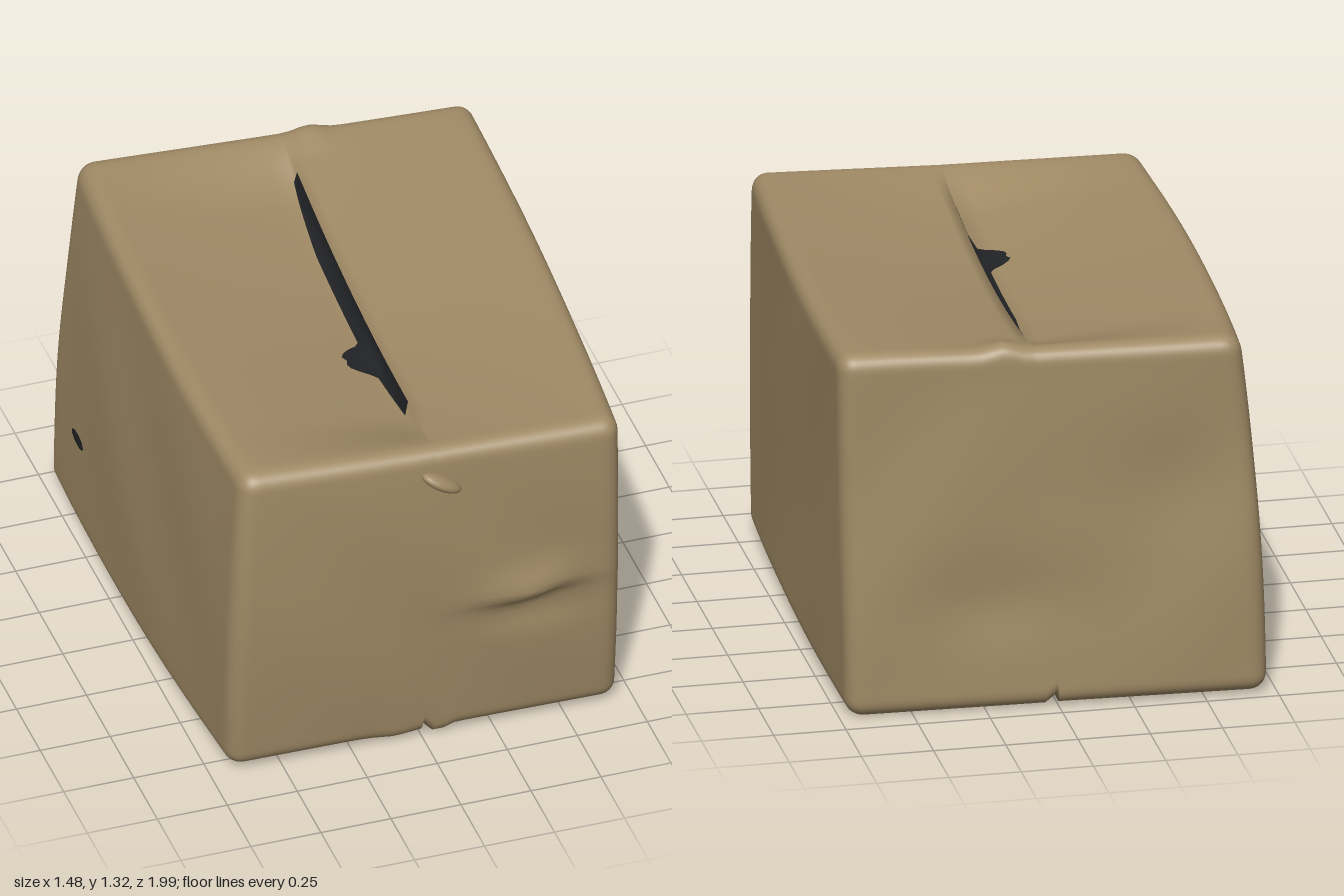
import * as THREE from 'three';
import { mergeVertices } from 'three/addons/utils/BufferGeometryUtils.js';

// Corners of the battered carton, [bottom/top][back/front][-x/+x]
const CORNERS = [
  [[[-0.715, 0.02, -0.99], [0.725, 0.01, -0.92]], [[-0.685, 0.03, 0.84], [0.69, 0.03, 0.86]]],
  [[[-0.62, 1.32, -0.99], [0.75, 1.32, -0.89]], [[-0.66, 1.275, 0.9], [0.66, 1.275, 0.985]]],
];
const HALF = [0.72, 0.64, 0.95];
const RADIUS = 0.06;

const bump = (x, y, cx, cy, sx, sy) => Math.exp(-(((x - cx) / sx) ** 2) - ((y - cy) / sy) ** 2);
const face = (t) => THREE.MathUtils.smoothstep(t, 0.8, 0.95);

// Maps a point of the -1..1 cube onto the rounded, sagging, dented box
function warp(a, b, c) {
  const p = new THREE.Vector3(a * HALF[0], b * HALF[1], c * HALF[2]);
  const inner = new THREE.Vector3(
    ...[p.x, p.y, p.z].map((v, i) => THREE.MathUtils.clamp(v, RADIUS - HALF[i], HALF[i] - RADIUS)));
  const out = p.clone().sub(inner);
  if (out.length() > RADIUS) p.copy(inner).add(out.setLength(RADIUS));
  const n = [p.x / HALF[0], p.y / HALF[1], p.z / HALF[2]];

  const q = new THREE.Vector3();
  for (let j = 0; j < 2; j++) for (let k = 0; k < 2; k++) for (let i = 0; i < 2; i++) {
    const w = [i, j, k].reduce((s, side, m) => s * (1 + (side ? 1 : -1) * n[m]) / 2, 1);
    q.addScaledVector(new THREE.Vector3(...CORNERS[j][k][i]), w);
  }
  const [x, y, z] = n;
  const openX = 1 - x * x, openY = 1 - y * y, openZ = 1 - z * z;

  // Bulging walls and gentle waviness
  q.x += x * (x < 0 ? 0.02 * openY + 0.03 * openZ : 0.02 * openZ);
  q.z += face(z) * openY * 0.03 - face(-z) * openY * 0.01 * Math.sin(4 * x + 3 * y);
  q.x += 0.006 * Math.sin(5 * z + 3 * y) * openY * openZ;
  q.z += 0.006 * Math.sin(6 * x + 4 * y) * openY * openX;

  // Top flaps sag towards the seam, the left-hand one lower
  const sag = 1 - Math.abs(x);
  const low = a < -0.005 ? 1 : 0;
  q.y -= face(y) * sag * (0.075 * openZ + low * 0.06 * THREE.MathUtils.smoothstep(openZ, 0.1, 0.6));
  q.x += face(y) * sag * 0.02;

  // Bottom seam, one flap tucked behind the other, and ragged lower front edge
  q.y += face(-y) * sag * openZ * (0.01 + low * 0.02);
  q.y += face(-y) * 0.03 * Math.exp(-((x / 0.025) ** 2)) * (1 - low);
  q.y -= face(-y) * face(z) * 0.02 * (bump(x, 0, 0.08, 0, 0.05, 1) + 0.6 * bump(x, 0, -0.14, 0, 0.1, 1));

  // Raised tape end on the top back edge
  q.y += face(y) * face(-z) * 0.02 * bump(x, 0, 0.15, 0, 0.08, 1);

  // Front crease with a sharp lower edge, and shallow dents in the back wall
  const ridge = 0.6 + 0.03 * THREE.MathUtils.smoothstep(q.x, 0.3, 0.48);
  q.z += face(z) * (0.035 * bump(q.x, q.y, 0.36, ridge, 0.17, q.y > ridge ? 0.1 : 0.025)
    - 0.015 * bump(q.x, q.y, 0.36, 0.52, 0.2, 0.07));
  q.z += face(-z) * (0.02 * bump(q.x, q.y, 0.2, 0.4, 0.25, 0.15) + 0.015 * bump(q.x, q.y, -0.35, 0.8, 0.25, 0.2));
  return q;
}

// Surface lofted through rows of three points
function loft(rows) {
  const pos = [], idx = [];
  rows.forEach((row, i) => {
    row.forEach((v) => pos.push(v.x, v.y, v.z));
    for (let k = 0; i && k < 2; k++) {
      const a = 3 * (i - 1) + k, b = 3 * i + k;
      idx.push(a, b, a + 1, a + 1, b, b + 1);
    }
  });
  const g = new THREE.BufferGeometry();
  g.setAttribute('position', new THREE.Float32BufferAttribute(pos, 3));
  g.setIndex(idx);
  g.computeVertexNormals();
  return g;
}

export function createModel() {
  const group = new THREE.Group();
  const cardboard = new THREE.MeshStandardMaterial({ color: 0xa08a65 });
  cardboard.name = 'cardboard';
  const dark = new THREE.MeshStandardMaterial({ color: 0x222326, side: THREE.DoubleSide });
  dark.name = 'dark interior';
  const add = (name, geometry, material) => {
    const mesh = new THREE.Mesh(geometry, material);
    mesh.name = name;
    group.add(mesh);
    return mesh;
  };

  // Carton body, grid drawn denser near the edges
  let body = new THREE.BoxGeometry(2, 2, 2, 48, 60, 60);
  body.deleteAttribute('uv');
  body.deleteAttribute('normal');
  body = mergeVertices(body);
  const pos = body.attributes.position;
  const dense = (t) => 0.5 * t + 0.5 * Math.sin(t * Math.PI / 2);
  for (let i = 0; i < pos.count; i++) {
    let a = dense(pos.getX(i));
    if (a < -0.01 && a > -0.07) a = -0.01;
    const q = warp(a, dense(pos.getY(i)), dense(pos.getZ(i)));
    pos.setXYZ(i, q.x, q.y, q.z);
  }
  body.computeVertexNormals();
  add('cartonBody', body, cardboard);

  // Open gap along the top seam, with a torn hole beside it
  const rows = [];
  for (let i = 0; i <= 60; i++) {
    const t = i / 60, c = THREE.MathUtils.lerp(-0.76, 0.63, t);
    const torn = Math.max(0, 1 - ((c - 0.26) / 0.095) ** 2);
    const ragged = 0.012 * Math.sin(c * 90) * torn;
    const width = 0.016 + 0.04 * Math.min(1, Math.sin(Math.PI * t) * 1.3) + 0.11 * Math.sqrt(torn) + ragged;
    const row = [warp(-width, 1, c), warp(-0.014, 1, c), warp(0, 1, c)];
    [0.005, 0.005, 0.002].forEach((lift, k) => { row[k].y += lift; });
    rows.push(row);
  }
  add('topSeamGap', loft(rows), dark);

  // Small puncture in the left-hand wall
  const puncture = new THREE.CircleGeometry(1, 9);
  puncture.scale(0.06, 0.026, 1);
  const hole = add('sidePuncture', puncture, dark);
  hole.position.copy(warp(-1, -0.44, -0.65)).add(new THREE.Vector3(-0.006, 0, 0));
  hole.rotation.set(0, -Math.PI / 2, 0);

  // Curled tape end under the front top edge
  const curl = add('tapeCurl', new THREE.SphereGeometry(1, 20, 12), cardboard);
  curl.scale.set(0.08, 0.026, 0.045);
  curl.position.copy(warp(0.05, 0.79, 1));
  curl.rotation.z = -0.55;
  return group;
}
